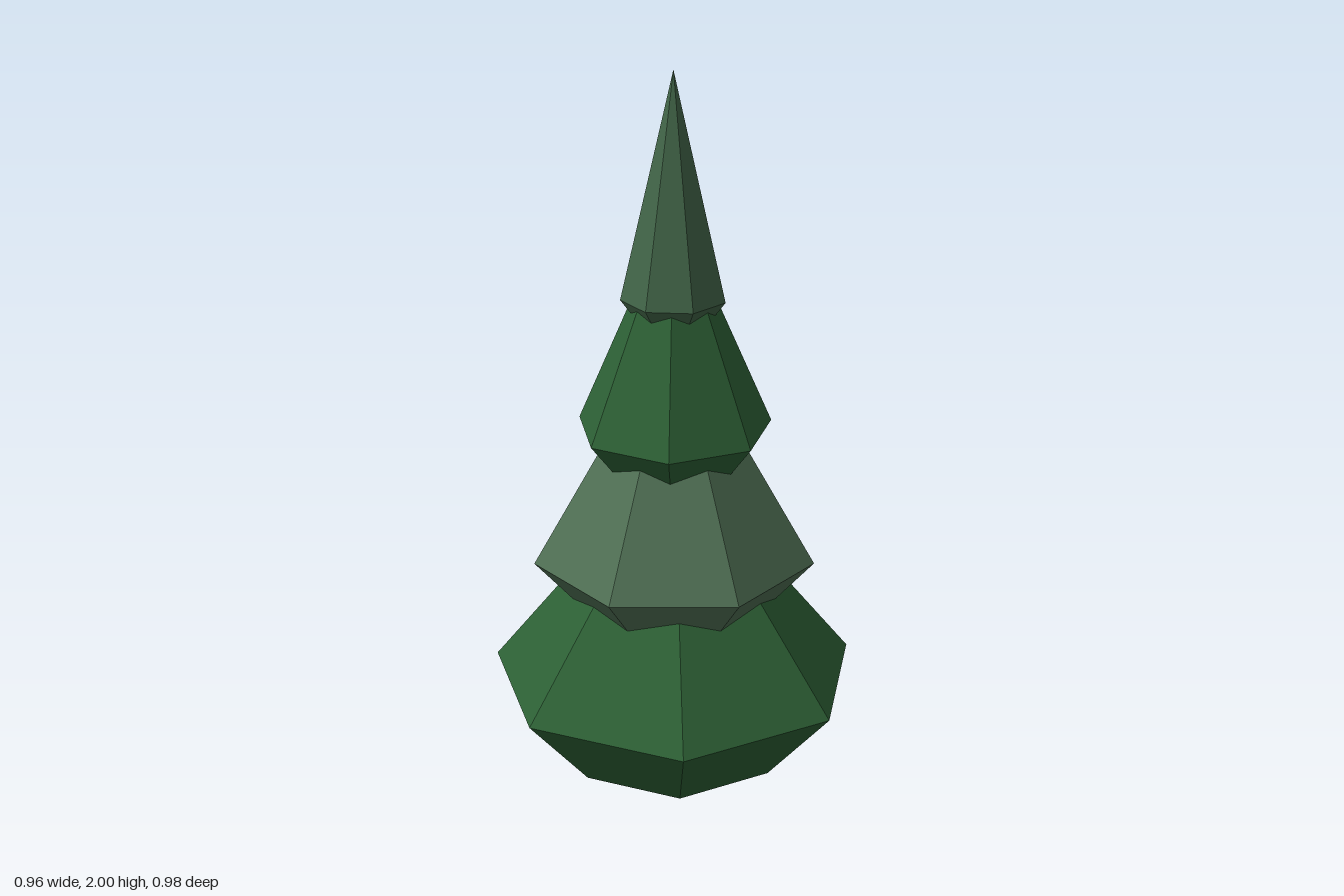
import * as THREE from 'three';

const rad = THREE.MathUtils.degToRad;
const AXIS_X = -0.026;

// Each tier is an open seven-sided skirt: tucked rim, widest ring, then apex.
// turn is the angle of one corner from +x towards +z, in degrees.
const TIERS = [
  { name: 'bottomBranches', rim: [0.313, 0.11], wide: [0.504, 0.337], apex: 0.97, turn: 0, color: 0x2d6035 },
  { name: 'lowerMiddleBranches', rim: [0.21, 0.5], wide: [0.382, 0.695], apex: 1.34, turn: -23, color: 0x4f6f54 },
  { name: 'upperMiddleBranches', rim: [0.14, 0.9], wide: [0.262, 1.055], apex: 1.66, turn: 5.5, color: 0x2d6035 },
  { name: 'topBranches', rim: [0.08, 1.33], wide: [0.139, 1.41], apex: 2, turn: -18, color: 0x426548 },
];

function makeTier({ name, rim, wide, apex, turn, color }) {
  const profile = [rim, wide, [0, apex]].map(([r, y]) => new THREE.Vector2(r, y));
  const geometry = new THREE.LatheGeometry(profile, 7, Math.PI / 2 - rad(turn));
  const material = new THREE.MeshStandardMaterial({ color, flatShading: true, side: THREE.DoubleSide });
  const mesh = new THREE.Mesh(geometry, material);
  mesh.name = name;
  return mesh;
}

export function createModel() {
  const tree = new THREE.Group();
  tree.name = 'tree';

  // Hexagonal trunk, its top hidden inside the bottom branches
  const trunk = new THREE.Mesh(
    new THREE.CylinderGeometry(0.075, 0.088, 0.5, 6, 1, false, rad(82)),
    new THREE.MeshStandardMaterial({ color: 0x4a3024, flatShading: true })
  );
  trunk.name = 'trunk';
  trunk.position.y = 0.25;
  tree.add(trunk);

  // Stacked branch tiers
  for (const tier of TIERS) tree.add(makeTier(tier));

  // The odd number of sides puts the trunk axis slightly off centre
  for (const part of tree.children) part.position.x = AXIS_X;
  return tree;
}
